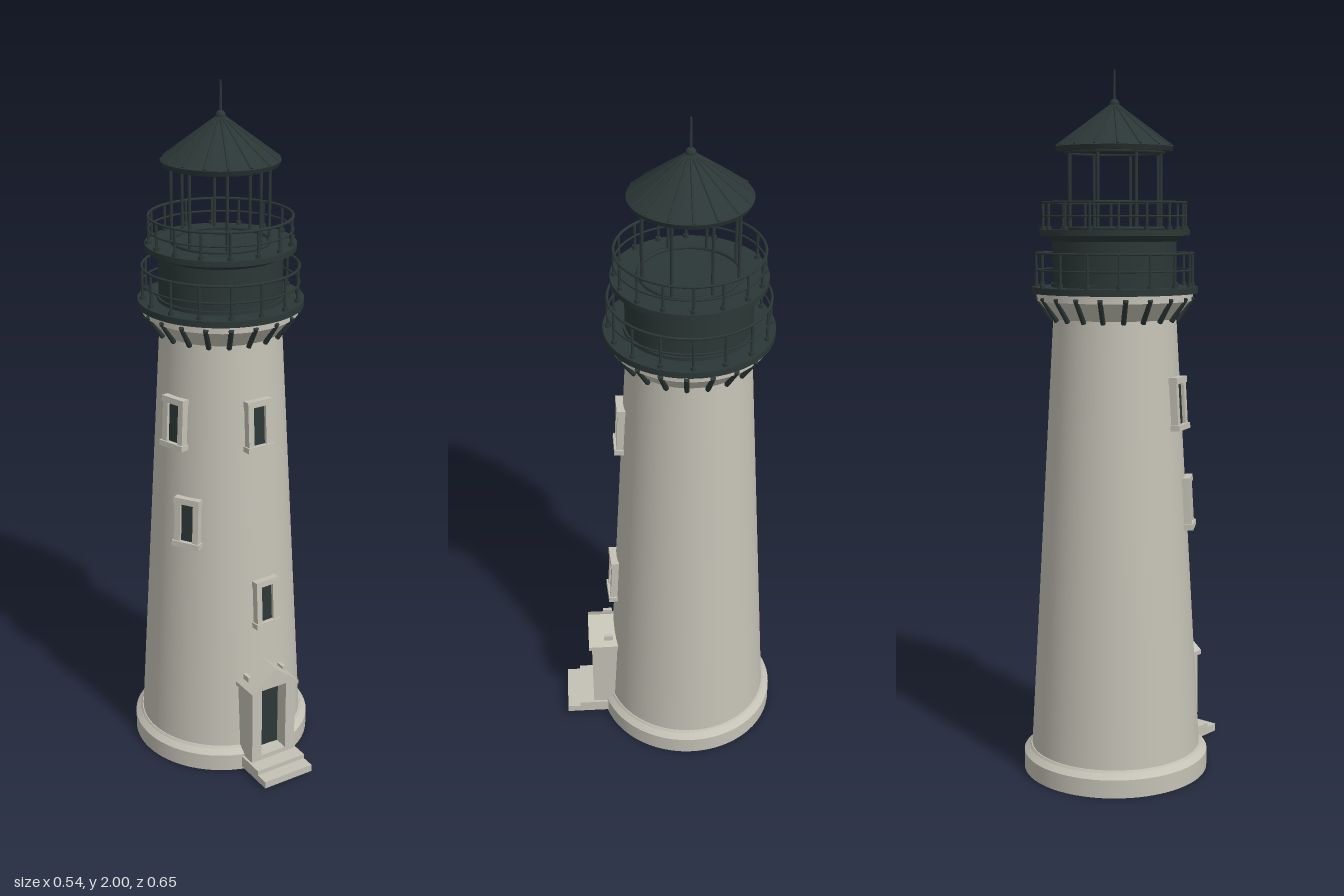
import * as THREE from 'three';

const stone = new THREE.MeshStandardMaterial({ color: 0xc4c1b5 });
stone.name = 'pale stone';
const iron = new THREE.MeshStandardMaterial({ color: 0x2b3736 });
iron.name = 'dark iron';

const V = (x, y, z) => new THREE.Vector3(x, y, z);

function add(parent, name, geometry, material, x = 0, y = 0, z = 0) {
  const mesh = new THREE.Mesh(geometry, material);
  mesh.name = name;
  mesh.position.set(x, y, z);
  parent.add(mesh);
  return mesh;
}

function box(parent, name, w, h, d, material, x, y, z) {
  return add(parent, name, new THREE.BoxGeometry(w, h, d), material, x, y, z);
}

// Upright cylinder between two heights
function drum(parent, name, rBottom, rTop, y0, y1, material, sides = 64) {
  return add(parent, name, new THREE.CylinderGeometry(rTop, rBottom, y1 - y0, sides), material, 0, (y0 + y1) / 2, 0);
}

// Round bar between two points
function bar(parent, name, a, b, r, material = iron) {
  const dir = b.clone().sub(a);
  const mesh = add(parent, name, new THREE.CylinderGeometry(r, r, dir.length(), 8), material);
  mesh.position.copy(a).add(b).multiplyScalar(0.5);
  mesh.quaternion.setFromUnitVectors(V(0, 1, 0), dir.normalize());
  return mesh;
}

// Calls fn(angle, pointAt(radius, y)) evenly around the axis
function around(count, fn) {
  for (let i = 0; i < count; i++) {
    const a = (i / count) * Math.PI * 2;
    fn(a, (r, y) => V(Math.sin(a) * r, y, Math.cos(a) * r));
  }
}

function ring(parent, name, radius, y, thickness) {
  add(parent, name, new THREE.TorusGeometry(radius, thickness, 6, 64), iron, 0, y, 0).rotation.x = Math.PI / 2;
}

function railing(parent, name, radius, y0, y1, count) {
  const group = new THREE.Group();
  group.name = name;
  parent.add(group);
  around(count, (a, at) => {
    bar(group, 'railPost', at(radius, y0 - 0.01), at(radius, y1), 0.004);
    bar(group, 'postFoot', at(radius, y0), at(radius, y0 + 0.01), 0.008);
  });
  ring(group, 'topRail', radius, y1, 0.004);
  ring(group, 'middleRail', radius, (y0 + y1) / 2, 0.003);
}

const wallRadius = y => 0.245 - 0.07 * (y - 0.07) / 1.23;

// Window surround with sill, lintel and dark pane, leaning with the wall
function windowUnit(parent, degrees, y) {
  const turn = new THREE.Group();
  turn.name = 'window';
  turn.rotation.y = THREE.MathUtils.degToRad(degrees);
  parent.add(turn);
  const g = new THREE.Group();
  g.name = 'windowFrame';
  g.position.set(0, y, wallRadius(y));
  g.rotation.x = -0.057;
  turn.add(g);
  for (const s of [-1, 1]) box(g, 'jamb', 0.018, 0.125, 0.05, stone, s * 0.029, 0, -0.008);
  box(g, 'lintel', 0.08, 0.018, 0.052, stone, 0, 0.066, -0.006);
  box(g, 'sill', 0.086, 0.016, 0.056, stone, 0, -0.066, -0.006);
  box(g, 'windowPane', 0.042, 0.118, 0.008, iron, 0, 0, 0.004);
}

// Gabled entrance with recessed door and two steps
function entrance(parent) {
  const g = new THREE.Group();
  g.name = 'entrance';
  g.rotation.y = THREE.MathUtils.degToRad(24);
  parent.add(g);
  const shape = new THREE.Shape([[-0.075, 0.02], [0.075, 0.02], [0.075, 0.283], [0, 0.342], [-0.075, 0.283]]
    .map(p => new THREE.Vector2(...p)));
  shape.holes.push(new THREE.Path([[-0.042, 0.06], [-0.042, 0.285], [0.042, 0.285], [0.042, 0.06]]
    .map(p => new THREE.Vector2(...p))));
  add(g, 'porchWalls', new THREE.ExtrudeGeometry(shape, { depth: 0.14, bevelEnabled: false }), stone, 0, 0, 0.16);
  box(g, 'door', 0.084, 0.225, 0.008, iron, 0, 0.1725, 0.253);
  const slab = new THREE.Shape([[0, 0.337], [0.081, 0.274], [0.081, 0.287], [0, 0.351], [-0.081, 0.287], [-0.081, 0.274]]
    .map(p => new THREE.Vector2(...p)));
  add(g, 'porchRoof', new THREE.ExtrudeGeometry(slab, { depth: 0.149, bevelEnabled: false }), stone, 0, 0, 0.16);
  for (const s of [-1, 1]) box(g, 'roofPeg', 0.01, 0.02, 0.028, stone, s * 0.06, 0.306, 0.247);
  box(g, 'upperStep', 0.165, 0.025, 0.16, stone, 0, 0.0325, 0.265 - 0.001);
  box(g, 'lowerStep', 0.165, 0.022, 0.18, stone, 0, 0.02, 0.294);
}

export function createModel() {
  const model = new THREE.Group();
  model.name = 'lighthouse';
  const t = new THREE.Group();
  t.name = 'tower';
  t.position.z = -0.06;
  model.add(t);

  // Masonry
  drum(t, 'plinth', 0.268, 0.268, 0, 0.052, stone);
  drum(t, 'plinthBevel', 0.268, 0.252, 0.052, 0.066, stone);
  drum(t, 'plinthCollar', 0.252, 0.248, 0.066, 0.072, stone);
  drum(t, 'towerWall', wallRadius(0.06), wallRadius(1.32), 0.06, 1.32, stone);
  drum(t, 'flaredCornice', 0.174, 0.216, 1.315, 1.365, stone);
  drum(t, 'corniceBand', 0.22, 0.22, 1.365, 1.386, stone);
  for (const [degrees, y] of [[25, 1.08], [-49, 1.08], [-34, 0.79], [28, 0.53]]) windowUnit(t, degrees, y);
  entrance(t);

  // Lower gallery on slanted brackets
  drum(t, 'lowerDeck', 0.234, 0.234, 1.386, 1.404, iron);
  around(20, (a, at) => bar(t, 'bracket', at(0.178, 1.31), at(0.222, 1.375), 0.0075));
  railing(t, 'lowerRailing', 0.22, 1.404, 1.497, 16);

  // Watch room and upper gallery
  drum(t, 'watchRoom', 0.174, 0.174, 1.4, 1.545, iron);
  drum(t, 'watchRoomFoot', 0.18, 0.18, 1.404, 1.414, iron);
  drum(t, 'watchRoomMoulding', 0.176, 0.195, 1.53, 1.546, iron);
  drum(t, 'upperDeck', 0.211, 0.211, 1.546, 1.562, iron);
  railing(t, 'upperRailing', 0.2, 1.562, 1.637, 16);

  // Open lantern
  around(8, (a, at) => bar(t, 'lanternPost', at(0.136, 1.56), at(0.136, 1.785), 0.0045));
  ring(t, 'lanternSill', 0.136, 1.566, 0.006);
  ring(t, 'lanternHead', 0.136, 1.775, 0.006);

  // Ribbed roof with finial
  drum(t, 'roofEave', 0.16, 0.165, 1.777, 1.79, iron);
  drum(t, 'roofCone', 0.165, 0.01, 1.79, 1.903, iron);
  around(16, (a, at) => bar(t, 'roofRib', at(0.162, 1.792), at(0.01, 1.903), 0.004));
  add(t, 'finialBall', new THREE.SphereGeometry(0.014, 16, 10), iron, 0, 1.907, 0);
  drum(t, 'spire', 0.004, 0.003, 1.91, 2, iron, 8);
  return model;
}
